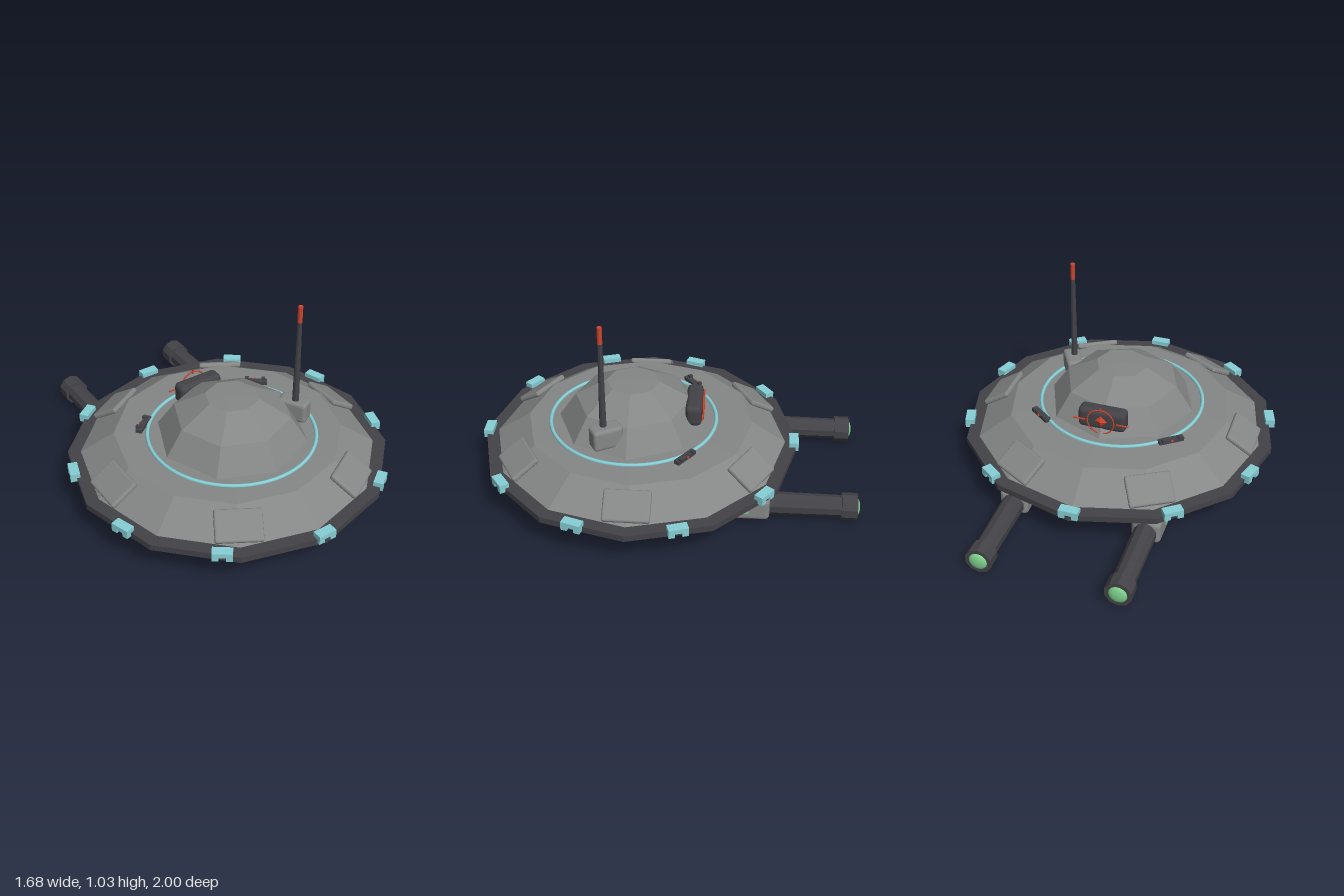
import * as THREE from 'three';
import { RoundedBoxGeometry } from 'three/addons/geometries/RoundedBoxGeometry.js';

const mat = (name, color, flat = false) => {
  const m = new THREE.MeshStandardMaterial({ color, flatShading: flat });
  m.name = name;
  return m;
};

export function createModel() {
  const grey = mat('hullGrey', 0x858787, true);
  const dark = mat('darkMetal', 0x434348, true);
  const teal = mat('tealTrim', 0x86cfd5);
  const red = mat('signalRed', 0xd0442e);
  const green = mat('glowGreen', 0x7fcf8e);
  const glass = mat('paleBlueGlass', 0xa4cbdd);

  const model = new THREE.Group();
  model.name = 'flyingSaucer';

  const add = (parent, name, geometry, material, x = 0, y = 0, z = 0) => {
    const mesh = new THREE.Mesh(geometry, material);
    mesh.name = name;
    mesh.position.set(x, y, z);
    parent.add(mesh);
    return mesh;
  };
  const group = (parent, name, x = 0, y = 0, z = 0, turn = 0) => {
    const g = new THREE.Group();
    g.name = name;
    g.position.set(x, y, z);
    g.rotation.y = turn;
    parent.add(g);
    return g;
  };
  // Profiles run from the bottom up so the faces point outward
  const lathe = (points, sides) =>
    new THREE.LatheGeometry(points.map(([r, y]) => new THREE.Vector2(r, y)), sides);
  const box = (w, h, d) => new THREE.BoxGeometry(w, h, d);

  // Saucer hull
  const saucer = group(model, 'saucer', 0, 0, 0.155);
  add(saucer, 'lowerHull', lathe([[0.3, 0.1], [0.55, 0.1], [0.83, 0.185]], 12), grey);
  add(saucer, 'rim', lathe([[0.8, 0.185], [0.84, 0.185], [0.84, 0.218], [0.76, 0.218]], 12), dark);
  add(saucer, 'upperHull', lathe([[0.775, 0.216], [0.595, 0.332], [0.3, 0.34]], 12), grey);

  // Belly port
  add(saucer, 'bellyRing', lathe([[0.25, 0.1], [0.25, 0.08], [0.355, 0.08], [0.355, 0.102]], 12), dark);
  add(saucer, 'bellyLens', lathe(
    [[0, 0.125], [0.1, 0.116], [0.18, 0.096], [0.24, 0.068], [0.257, 0.068], [0.257, 0.09]], 40), glass);

  // Trim clips around the rim, notched at the bottom
  const clipShape = new THREE.Shape([
    [-0.05, 0.197], [-0.018, 0.197], [-0.018, 0.218], [0.018, 0.218],
    [0.018, 0.197], [0.05, 0.197], [0.05, 0.243], [-0.05, 0.243],
  ].map(([x, y]) => new THREE.Vector2(x, y)));
  const clipGeo = new THREE.ExtrudeGeometry(clipShape, { depth: 0.05, bevelEnabled: false });
  for (let i = 0; i < 10; i++) {
    add(group(saucer, 'rimClip', 0, 0, 0, i * Math.PI / 5), 'clip', clipGeo, teal, 0, 0, 0.793);
  }

  // Raised hatches on the sloping deck
  const hatchGeo = new RoundedBoxGeometry(0.235, 0.03, 0.165, 2, 0.012);
  for (let i = 0; i < 6; i++) {
    const holder = group(saucer, 'deckHatch', 0, 0, 0, Math.PI / 6 + i * Math.PI / 3);
    add(holder, 'hatch', hatchGeo, grey, 0, 0.277, 0.685).rotation.x = 0.565;
  }

  // Faceted dome and its ring
  const cabin = group(model, 'cabin', 0, 0, 0.19);
  add(cabin, 'dome', lathe([[0.4, 0.33], [0.305, 0.47], [0.14, 0.563], [0, 0.568]], 8), grey);
  add(cabin, 'domeRing', new THREE.TorusGeometry(0.438, 0.01, 8, 64), teal, 0, 0.338, 0)
    .rotation.x = Math.PI / 2;

  // Antenna on its mount
  add(model, 'antennaMount', new RoundedBoxGeometry(0.09, 0.115, 0.16, 2, 0.018), grey, 0.318, 0.428, 0.296)
    .rotation.y = Math.PI / 6;
  add(model, 'antennaRod', new THREE.CylinderGeometry(0.012, 0.018, 0.49, 8), dark, 0.315, 0.715, 0.31);
  add(model, 'antennaTip', new THREE.CylinderGeometry(0.013, 0.013, 0.09, 8), red, 0.315, 1.0, 0.31);

  // Rear sensor with a red target sight
  const sensor = group(model, 'rearSensor', 0, 0.43, 0);
  add(sensor, 'sensorHousing', new RoundedBoxGeometry(0.255, 0.115, 0.085, 2, 0.025), dark, 0, 0, -0.132);
  add(sensor, 'sightRing', new THREE.TorusGeometry(0.072, 0.004, 6, 32), red, 0, 0, -0.18);
  add(sensor, 'sightGem', new THREE.OctahedronGeometry(0.034), red, 0, 0, -0.175).scale.z = 0.4;
  for (const s of [-1, 1]) {
    add(sensor, 'sightBar', box(0.065, 0.006, 0.006), red, s * 0.117, 0, -0.18);
    add(sensor, 'sightTick', box(0.006, 0.025, 0.006), red, 0, s * 0.072, -0.18);
  }

  // Parts mirrored on both sides
  const alongZ = (rBack, rFront, length, sides) =>
    new THREE.CylinderGeometry(rBack, rFront, length, sides).rotateX(-Math.PI / 2);
  for (const s of [-1, 1]) {
    // Engine pod with barrel, collar and glowing end
    const engine = group(model, s > 0 ? 'leftEngine' : 'rightEngine', s * 0.353, 0.08, 0);
    add(engine, 'pod', new RoundedBoxGeometry(0.152, 0.128, 0.42, 3, 0.025), grey, 0, 0.002, -0.33);
    add(engine, 'barrel', alongZ(0.056, 0.06, 0.4, 10), dark, 0, 0, -0.71);
    add(engine, 'collar', alongZ(0.07, 0.07, 0.08, 10), dark, 0, 0, -0.943);
    add(engine, 'glow', new THREE.SphereGeometry(0.048, 20, 12), green, 0, 0, -0.98).scale.z = 0.4;
    for (let i = 0; i < 4; i++) {
      add(engine, 'podLight', box(0.008, 0.042, 0.03), green, s * 0.076, 0.003, -0.26 - i * 0.053);
    }

    // Small sensor bar beside the dome
    const bar = group(model, s > 0 ? 'leftSensorBar' : 'rightSensorBar', s * 0.357, 0.346, -0.105, -s * 0.64);
    add(bar, 'bar', box(0.135, 0.02, 0.032), dark);
    for (const e of [-1, 1]) add(bar, 'prong', box(0.02, 0.014, 0.02), dark, e * 0.045, 0.014, -0.012);
    add(bar, 'sensorDot', box(0.01, 0.01, 0.008), red, 0, 0.005, -0.019);
  }

  return model;
}
